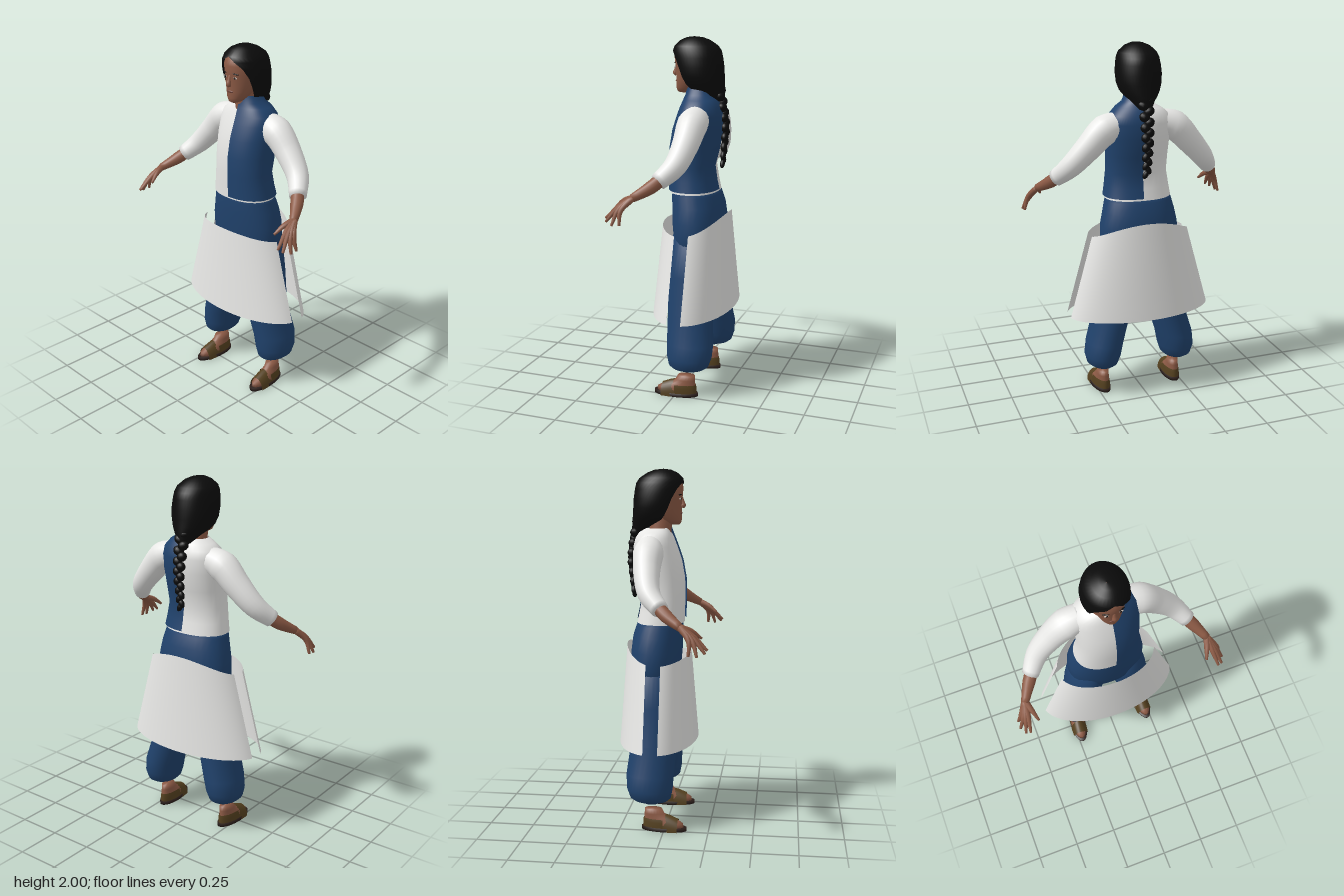
import * as THREE from 'three';
import { mergeVertices } from 'three/addons/utils/BufferGeometryUtils.js';

const mat = (name, color, side = THREE.FrontSide) => {
  const m = new THREE.MeshStandardMaterial({ color, side });
  m.name = name;
  return m;
};

// Skin a list of point rows into one smooth surface, with optional end caps
function grid(rows, caps) {
  const pos = [], idx = [], n = rows[0].length;
  rows.forEach(r => r.forEach(p => pos.push(p.x, p.y, p.z)));
  for (let i = 0; i < rows.length - 1; i++) for (let j = 0; j < n - 1; j++) {
    const a = i * n + j, c = a + n;
    idx.push(a, a + 1, c + 1, a, c + 1, c);
  }
  if (caps) [0, rows.length - 1].forEach(i => {
    const mid = new THREE.Vector3();
    for (let j = 0; j < n - 1; j++) mid.addScaledVector(rows[i][j], 1 / (n - 1));
    const k = pos.length / 3;
    pos.push(mid.x, mid.y, mid.z);
    for (let j = 0; j < n - 1; j++) {
      const a = i * n + j;
      if (i) idx.push(k, a, a + 1); else idx.push(k, a + 1, a);
    }
  });
  let g = new THREE.BufferGeometry();
  g.setAttribute('position', new THREE.Float32BufferAttribute(pos, 3));
  g.setIndex(idx);
  g = mergeVertices(g, 1e-5);
  g.computeVertexNormals();
  return g;
}

// Stack of oval rings [y, halfWidth, zFront, zBack, centreX]; the angle starts at the front
function loft(rings, { a0 = 0, a1 = Math.PI * 2, seg = 32, pow = 1, grow = 0, caps = false } = {}) {
  const curve = v => Math.sign(v) * Math.abs(v) ** pow;
  return grid(rings.map(([y, rx, zf, zb, cx = 0]) => Array.from({ length: seg + 1 }, (_, j) => {
    const t = a0 + (a1 - a0) * j / seg;
    return new THREE.Vector3(cx + (rx + grow) * curve(Math.sin(t)), y,
      (zf + zb) / 2 + ((zf - zb) / 2 + grow) * curve(Math.cos(t)));
  })), caps);
}

// Tapered round limb through points [x, y, z, radius], mirrored by s
function limb(pts, s = 1, seg = 14, steps = 4) {
  const curve = new THREE.CatmullRomCurve3(pts.map(p => new THREE.Vector3(p[0] * s, p[1], p[2])));
  const rows = [], total = (pts.length - 1) * steps;
  for (let i = 0; i <= total; i++) {
    const u = i / total, k = Math.min(Math.floor(i / steps), pts.length - 2);
    const r = THREE.MathUtils.lerp(pts[k][3], pts[k + 1][3], i / steps - k);
    const T = curve.getTangent(u), P = curve.getPoint(u);
    const N = new THREE.Vector3().crossVectors(T, new THREE.Vector3(0, 0, 1)).normalize();
    const B = new THREE.Vector3().crossVectors(T, N);
    rows.push(Array.from({ length: seg + 1 }, (_, j) => {
      const a = j / seg * Math.PI * 2;
      return P.clone().addScaledVector(N, r * Math.cos(a)).addScaledVector(B, r * Math.sin(a));
    }));
  }
  return grid(rows, true);
}

export function createModel() {
  const model = new THREE.Group();
  const D = THREE.DoubleSide;
  const skin = mat('skin', 0x8c5a45), white = mat('white cloth', 0xe8e8e6, D), blue = mat('blue cloth', 0x20426c, D);
  const black = mat('black hair', 0x0b0b0b, D), olive = mat('sandal leather', 0x54401f, D);
  const soleMat = mat('dark sole', 0x2a1d19), lip = mat('lips', 0x74463b), eyeMat = mat('eye white', 0xcfc4bb);
  const add = (name, geo, material, parent = model) => {
    const m = new THREE.Mesh(geo, material);
    m.name = name;
    parent.add(m);
    return m;
  };
  const blob = (name, material, p, sc) => {
    const m = add(name, new THREE.SphereGeometry(1, 14, 10), material);
    m.position.set(...p);
    m.scale.set(...sc);
    return m;
  };

  // Shirt, and a half vest with a standing collar over its left side
  const torso = [
    [1.155, .188, .088, -.175], [1.22, .178, .088, -.162], [1.3, .167, .09, -.15], [1.4, .168, .088, -.175],
    [1.5, .173, .07, -.193], [1.58, .175, .042, -.196], [1.625, .162, .025, -.185], [1.655, .12, .012, -.165],
    [1.678, .075, 0, -.13]];
  add('shirt', loft(torso, { pow: .88 }), white);
  const vestRings = torso.slice(0, 7).concat([[1.665, .125, .01, -.165], [1.69, .085, .002, -.14], [1.73, .07, -.005, -.135]]);
  vestRings[0] = [1.168, .187, .088, -.174];
  add('halfVest', loft(vestRings, { a0: .03, a1: Math.PI - .03, pow: .88, grow: .009 }), blue);

  // Baggy trousers
  add('trouserHips', loft([
    [.74, .12, .02, -.16], [.8, .2, .055, -.2], [.9, .225, .066, -.212], [1, .222, .075, -.21],
    [1.08, .205, .078, -.2], [1.14, .19, .08, -.18], [1.18, .18, .075, -.165]], { pow: .9, caps: true }), blue);

  // Front and back skirt panels with open sides and a curved top edge
  const panel = (dir, edgeY, rise) => {
    const rows = [];
    for (let i = 0; i <= 8; i++) {
      const k = i / 8, rx = .42 - .13 * k, rz = .22 - .04 * k, end = Math.acos(.04 / rz);
      rows.push(Array.from({ length: 41 }, (_, j) => {
        const t = (j / 20 - 1) * end + (dir < 0 ? Math.PI : 0);
        const top = edgeY + rise * Math.cos(t) ** 2;
        return new THREE.Vector3(rx * Math.sin(t), .485 + (top - .485) * k, -.053 + rz * Math.cos(t));
      }));
    }
    return grid(rows, false);
  };
  add('frontSkirtPanel', panel(1, .945, .037), white);
  add('backSkirtPanel', panel(-1, .95, .088), white);

  for (const s of [1, -1]) {
    const side = s > 0 ? 'left' : 'right';

    // Trouser leg gathered into a cuff
    add(side + 'TrouserLeg', loft([
      [.155, .036, -.03, -.112, .222], [.17, .038, -.028, -.115, .222], [.173, .07, .02, -.165, .225],
      [.19, .088, .038, -.19, .226], [.24, .103, .048, -.208, .224], [.32, .106, .053, -.214, .212],
      [.485, .107, .064, -.195, .164], [.7, .115, .066, -.2, .135], [.92, .1, .05, -.2, .11]]
      .map(r => [r[0], r[1], r[2], r[3], r[4] * s]), { caps: true }), blue);

    // Sleeve, forearm and hand
    add(side + 'Sleeve', limb([[.11, 1.575, -.09, .07], [.2, 1.545, -.088, .083], [.29, 1.456, -.083, .072],
      [.385, 1.352, -.056, .06], [.452, 1.277, .012, .046]], s, 20, 5), white);
    add(side + 'Forearm', limb([[.43, 1.3, -.01, .036], [.475, 1.25, .045, .035], [.528, 1.2, .125, .022]], s), skin);
    const hand = new THREE.Group();
    hand.name = side + 'Hand';
    model.add(hand);
    const fingers = [
      [[.538, 1.155, .195], [.552, 1.09, .265]], [[.553, 1.148, .196], [.577, 1.077, .255]],
      [[.565, 1.142, .188], [.597, 1.062, .215]], [[.572, 1.14, .172], [.595, 1.065, .172]],
      [[.508, 1.18, .18], [.49, 1.142, .23]]];
    fingers.forEach(([k, t], i) => add(i < 4 ? 'finger' : 'thumb',
      limb([[.528, 1.203, .12, .018], [...k, .0145], [...t, .007]], s, 8), skin, hand));

    // Foot in a strapped sandal
    const foot = new THREE.Group();
    foot.name = side + 'Foot';
    foot.position.x = .222 * s;
    foot.rotation.y = .06 * s;
    model.add(foot);
    add('foot', loft([[.018, .045, .112, -.115], [.04, .044, .108, -.115], [.055, .041, .085, -.115],
      [.075, .037, .035, -.113], [.095, .032, .002, -.112], [.122, .031, -.012, -.11]], { caps: true, seg: 20 }), skin, foot);
    add('sole', loft([[0, .05, .128, -.128], [.02, .05, .128, -.128]], { caps: true, seg: 24 }), soleMat, foot);
    const strap = add('instepStrap', loft([[-.02, .046, .098, -.098], [.03, .05, .086, -.086], [.08, .047, .065, -.065]],
      { a0: Math.PI / 2, a1: Math.PI * 1.5, seg: 16 }), olive, foot);
    strap.rotation.x = Math.PI / 2;
    add('heelStrap', loft([[.018, .048, .121, -.121], [.05, .047, .12, -.12], [.068, .042, .115, -.117]],
      { a0: Math.PI / 2, a1: Math.PI * 1.5, seg: 16 }), olive, foot);

    // Eye and brow
    blob(side + 'Eye', eyeMat, [.036 * s, 1.838, .066], [.015, .006, .004]);
    blob(side + 'Pupil', black, [.036 * s, 1.838, .068], [.0065, .006, .004]);
    const brow = blob(side + 'Brow', black, [.04 * s, 1.86, .066], [.02, .0035, .004]);
    brow.rotation.set(0, .3 * s, -.08 * s);
  }

  // Neck, head, nose and mouth
  add('neck', loft([[1.6, .065, .02, -.13], [1.67, .052, .012, -.11], [1.76, .052, .03, -.1]]), skin);
  add('head', loft([[1.697, .02, .055, .005], [1.705, .036, .066, -.02], [1.725, .054, .071, -.06], [1.76, .072, .07, -.1],
    [1.8, .085, .071, -.13], [1.85, .094, .075, -.15], [1.9, .097, .08, -.15], [1.94, .085, .066, -.13], [1.97, .05, .03, -.09]],
  { caps: true }), skin);
  add('nose', limb([[0, 1.85, .067, .008], [0, 1.822, .075, .01], [0, 1.802, .079, .014], [0, 1.793, .071, .011]]), skin);
  blob('mouth', lip, [0, 1.761, .068], [.024, .007, .006]);

  // Hair shell [y, halfWidth, zFront, zBack, zOfFaceEdge]
  const hairRings = [[1.66, .035, -.13, -.205, -.15], [1.7, .065, -.04, -.205, -.08], [1.725, .09, .02, -.205, -.035],
    [1.75, .108, .05, -.202, -.015], [1.79, .121, .07, -.2, .005], [1.84, .125, .08, -.197, .025], [1.89, .12, .087, -.19, .052],
    [1.925, .113, .088, -.182, .078], [1.95, .102, .078, -.165, .078], [1.98, .07, .045, -.12, .045], [1.995, .035, .01, -.08, .01],
    [2, .001, -.03, -.032, -.03]];
  add('hair', grid(hairRings.map(([y, rx, zf, zb, ze]) => {
    const cz = (zf + zb) / 2, rz = (zf - zb) / 2, a = Math.acos(Math.min(1, (ze - cz) / rz));
    return Array.from({ length: 33 }, (_, j) => {
      const t = a + (2 * Math.PI - 2 * a) * j / 32;
      return new THREE.Vector3(rx * Math.sin(t), y, cz + rz * Math.cos(t));
    });
  }), false), black);

  // Plaited braid down the back
  const braid = new THREE.CatmullRomCurve3([[0, 1.71, -.175], [0, 1.6, -.2], [0, 1.5, -.212], [0, 1.4, -.205], [0, 1.31, -.198]]
    .map(p => new THREE.Vector3(...p)));
  for (let i = 0; i < 16; i++) {
    const u = i / 15, p = braid.getPoint(u), r = .036 - .02 * u, s = i % 2 ? 1 : -1;
    blob('braidStrand', black, [p.x + s * r * .4, p.y, p.z], [r * .95, .026, r * .85]).rotation.z = s * .5;
  }
  return model;
}
